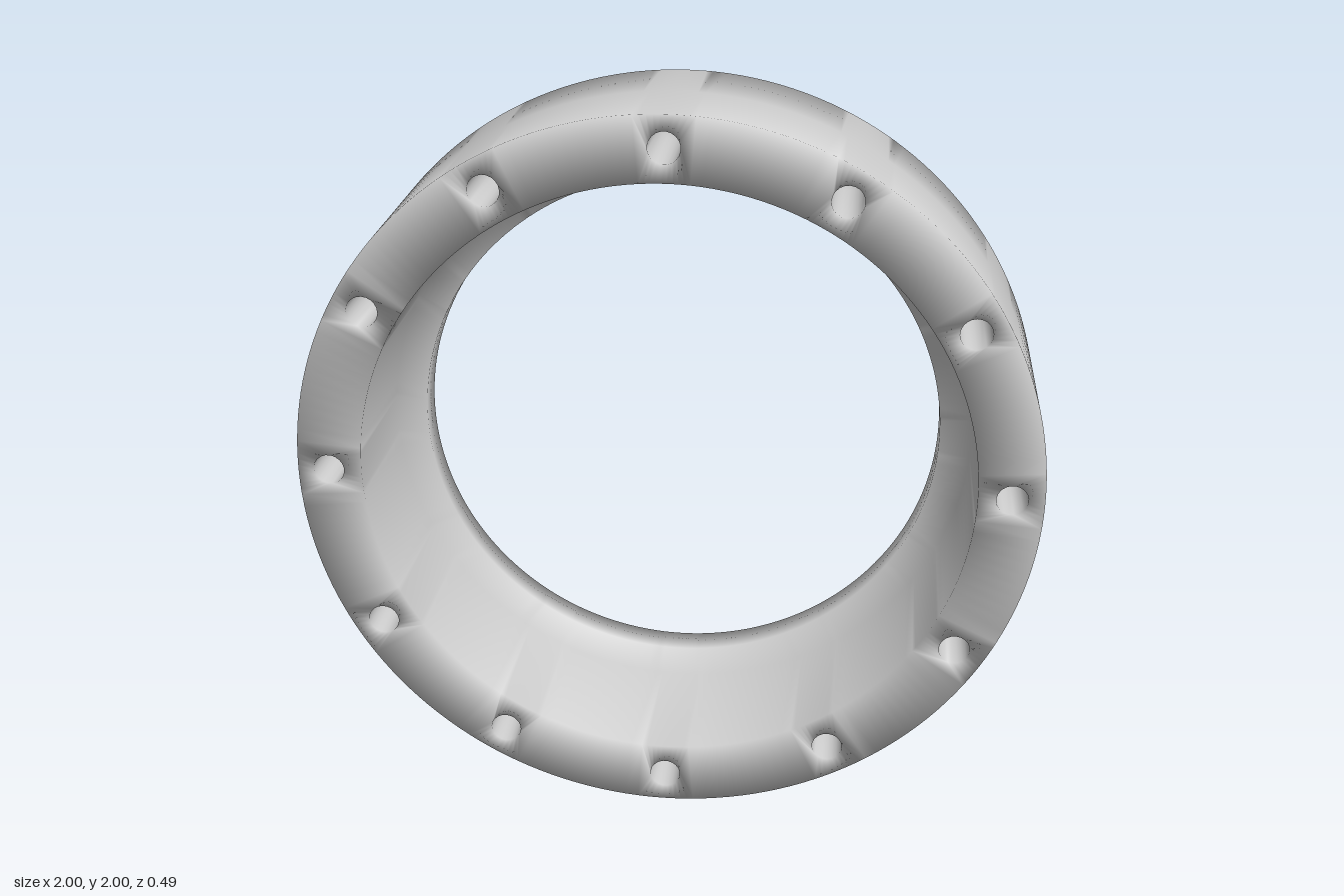
import * as THREE from 'three';
import { mergeVertices } from 'three/addons/utils/BufferGeometryUtils.js';

const OUTER = 1, BORE = 0.825, LIP = 0.735;       // radii
const H = 0.245, LIP_Z = -H + 0.09;               // half depth, front of the back lip
const BOLTS = 12, BOLT_CIRCLE = 0.915, BOLT_RADIUS = 0.042;
const CELL = 0.08;                                // half angle of the patch round a bolt hole
const HALF = 10, GAP = 10;                        // points on half a hole, segments between holes

export function createModel() {
  const positions = [];
  const polar = (r, a, z) => [r * Math.cos(a), r * Math.sin(a), z];

  // Quads between two rows of points
  const strip = (a, b, closed = false) => {
    for (let i = 0; i < a.length - (closed ? 0 : 1); i++) {
      const j = (i + 1) % a.length;
      positions.push(...a[i], ...a[j], ...b[j], ...a[i], ...b[j], ...b[i]);
    }
  };
  const chain = (rows, closed) => rows.slice(1).forEach((row, i) => strip(rows[i], row, closed));

  const range = (from, to, n) => Array.from({ length: n + 1 }, (_, i) => from + ((to - from) * i) / n);

  for (let s = 0; s < BOLTS; s++) {
    const mid = (s / BOLTS) * Math.PI * 2;
    const next = ((s + 1) / BOLTS) * Math.PI * 2;
    const cellAngles = range(mid - CELL, mid + CELL, HALF - 1);
    const gapAngles = range(mid + CELL, next - CELL, GAP);

    // Outer rim, then the bore with its narrower lip at the back
    for (const angles of [cellAngles, gapAngles]) {
      const row = (r, z) => angles.map((a) => polar(r, a, z));
      chain([row(OUTER, -H), row(OUTER, 0), row(OUTER, H)]);
      chain([row(BORE, H), row(BORE, LIP_Z), row(LIP, LIP_Z), row(LIP, -H)]);
    }

    // Front and back faces between the bolt holes
    const gapRow = (r, z) => gapAngles.map((a) => polar(r, a, z));
    strip(gapRow(OUTER, H), gapRow(BORE, H));
    strip(gapRow(LIP, -H), gapRow(OUTER, -H));

    // Bolt hole through the ring, with the face around it at either end
    const cell = (inner, z) => [
      ...cellAngles.map((a) => polar(OUTER, a, z)),
      ...[...cellAngles].reverse().map((a) => polar(inner, a, z)),
    ];
    const hole = (z) => Array.from({ length: HALF * 2 }, (_, k) => {
      const phi = ((k + 0.5) / HALF) * Math.PI;
      const u = BOLT_CIRCLE + BOLT_RADIUS * Math.sin(phi);
      const v = -BOLT_RADIUS * Math.cos(phi);
      return [u * Math.cos(mid) - v * Math.sin(mid), u * Math.sin(mid) + v * Math.cos(mid), z];
    });
    chain([cell(BORE, H), hole(H), hole(0), hole(-H), cell(LIP, -H)], true);
  }

  // Shared vertices give soft shading over the edges
  let geometry = new THREE.BufferGeometry();
  geometry.setAttribute('position', new THREE.Float32BufferAttribute(positions, 3));
  geometry = mergeVertices(geometry, 1e-4);
  geometry.computeVertexNormals();

  const ring = new THREE.Mesh(geometry, new THREE.MeshStandardMaterial({ color: 0xcccccc }));
  ring.name = 'ring';
  ring.position.y = OUTER;

  const group = new THREE.Group();
  group.name = 'flangeRing';
  group.add(ring);
  return group;
}
